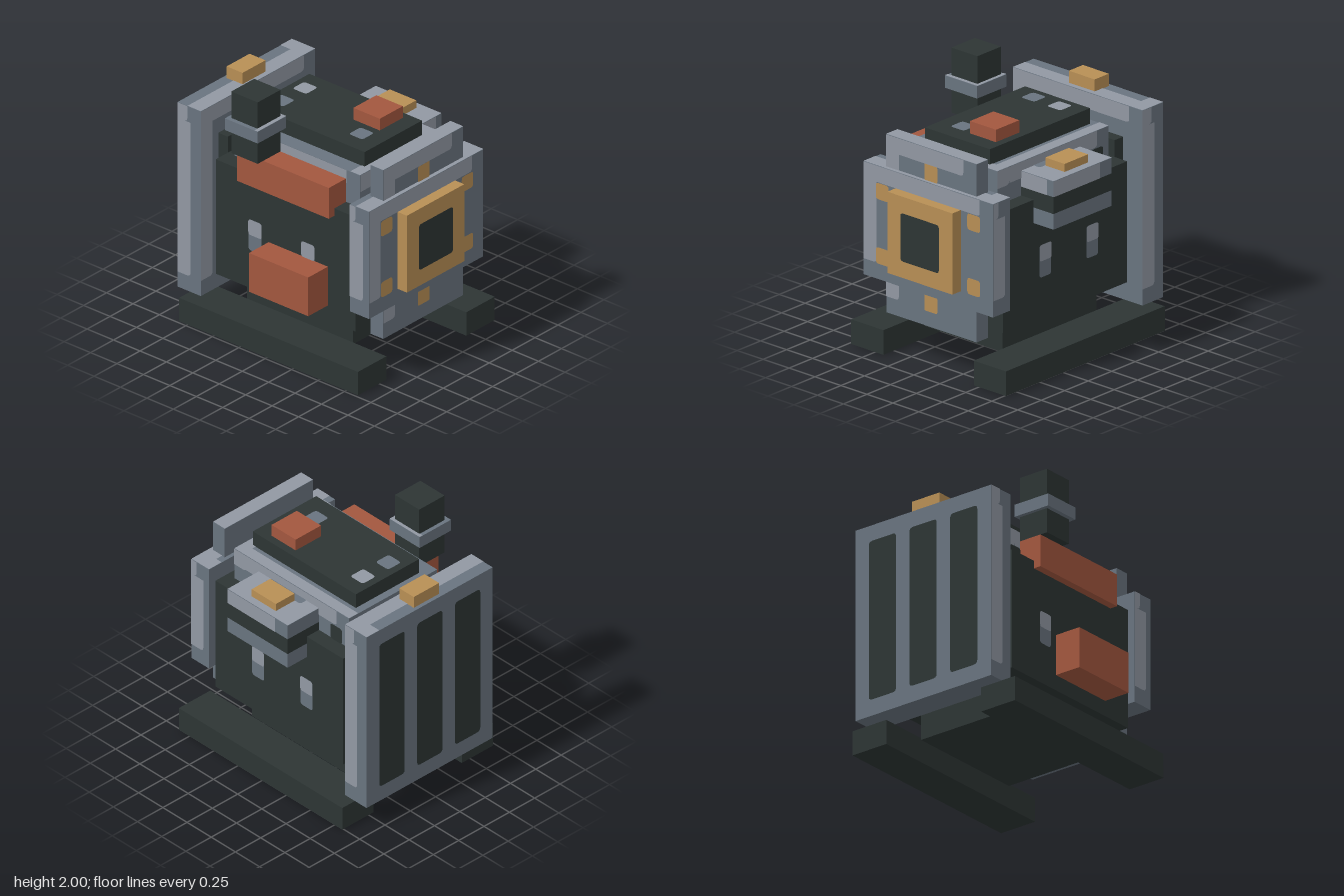
import * as THREE from 'three';

const mat = (name, color) => {
  const m = new THREE.MeshStandardMaterial({ color });
  m.name = name;
  return m;
};

export function createModel() {
  const root = new THREE.Group();
  root.name = 'generator';
  const dark = mat('dark iron', 0x2d3534);
  const steel = mat('steel', 0x69747f);
  const light = mat('light steel', 0x9298a3);
  const brass = mat('brass', 0xb88f55);
  const copper = mat('copper', 0xa3573f);

  // Box from its bounds
  function box(name, m, x0, x1, y0, y1, z0, z1) {
    const mesh = new THREE.Mesh(new THREE.BoxGeometry(x1 - x0, y1 - y0, z1 - z0), m);
    mesh.position.set((x0 + x1) / 2, (y0 + y1) / 2, (z0 + z1) / 2);
    mesh.name = name;
    root.add(mesh);
    return mesh;
  }

  // Painted polygon with rounded corners, centred on a face; side is the way it faces
  const turn = { front: [0, 0], back: [0, Math.PI], left: [0, Math.PI / 2], right: [0, -Math.PI / 2], top: [-Math.PI / 2, 0] };
  function paint(name, m, side, x, y, z, shape) {
    const mesh = new THREE.Mesh(new THREE.ShapeGeometry(shape, 3), m);
    mesh.rotation.set(turn[side][0], turn[side][1], 0);
    mesh.position.set(x, y, z);
    mesh.name = name;
    root.add(mesh);
  }
  function rounded(w, h, r = 0.025) {
    const s = new THREE.Shape(), a = w / 2, b = h / 2;
    s.moveTo(-a + r, -b);
    s.lineTo(a - r, -b);
    s.quadraticCurveTo(a, -b, a, -b + r);
    s.lineTo(a, b - r);
    s.quadraticCurveTo(a, b, a - r, b);
    s.lineTo(-a + r, b);
    s.quadraticCurveTo(-a, b, -a, b - r);
    s.lineTo(-a, -b + r);
    s.quadraticCurveTo(-a, -b, -a + r, -b);
    return s;
  }
  // Worn edge: an L along the left and upper edges of a face
  function edgeL(w, h, t = 0.125) {
    const a = w / 2, b = h / 2, r = 0.03;
    const s = new THREE.Shape();
    s.moveTo(-a, b);
    s.lineTo(-a, -b + t);
    s.lineTo(-a + t - r, -b + t);
    s.quadraticCurveTo(-a + t, -b + t, -a + t, -b + t + r);
    s.lineTo(-a + t, b - t);
    s.lineTo(a - t - r, b - t);
    s.quadraticCurveTo(a - t, b - t, a - t, b - t + r);
    s.lineTo(a - t, b);
    return s;
  }
  // Worn top: an L along the front and left edges
  function topL(w, d, t) {
    const a = w / 2, b = d / 2, u = Math.min(t, d);
    const s = new THREE.Shape();
    s.moveTo(-a, -b);
    s.lineTo(a, -b);
    s.lineTo(a, b);
    s.lineTo(a - t, b);
    if (u < d) s.lineTo(a - t, -b + u);
    s.lineTo(-a, -b + u);
    return s;
  }
  // Steel box with worn edges on its front, sides and top
  function steelBox(name, x0, x1, y0, y1, z0, z1, t = 0.125) {
    box(name, steel, x0, x1, y0, y1, z0, z1);
    const w = x1 - x0, h = y1 - y0, d = z1 - z0, e = 0.003;
    const x = (x0 + x1) / 2, y = (y0 + y1) / 2, z = (z0 + z1) / 2;
    if (Math.min(w, h) > 0.16) paint(name + 'FrontEdge', light, 'front', x, y, z1 + e, edgeL(w, h));
    if (Math.min(d, h) > 0.16) {
      paint(name + 'LeftEdge', light, 'left', x1 + e, y, z, edgeL(d, h));
      paint(name + 'RightEdge', light, 'right', x0 - e, y, z, edgeL(d, h));
    }
    paint(name + 'TopEdge', light, 'top', x, y1 + e, z, topL(w, d, t));
  }

  // Skids and base
  box('leftSkid', dark, 0.45, 0.76, 0, 0.19, -0.83, 0.86);
  box('rightSkid', dark, -0.73, -0.42, 0, 0.19, -0.83, 0.86);
  box('base', dark, -0.36, 0.39, 0.13, 0.38, -0.51, 0.49);

  // Body with a pair of gauges on each side
  box('body', dark, -0.55, 0.57, 0.38, 1.31, -0.64, 0.68);
  box('rearJoint', dark, -0.42, 0.45, 0.44, 1.44, -0.73, -0.64);
  for (const [side, x] of [['left', 0.574], ['right', -0.554]]) {
    for (const z of [0.235, -0.265]) {
      paint('gaugeLower', steel, side, x, 0.815, z, rounded(0.125, 0.25));
      paint('gaugeUpper', light, side, x + Math.sign(x) * 0.003, 0.878, z, rounded(0.125, 0.125, 0.02));
    }
  }

  // Upper housing and lid
  steelBox('housing', -0.42, 0.45, 1.31, 1.57, -0.575, 0.61, 0.09);
  paint('leftVent', dark, 'left', 0.457, 1.375, -0.45, rounded(0.12, 0.13));
  paint('rightVent', dark, 'right', -0.427, 1.375, -0.45, rounded(0.12, 0.13));
  box('lid', dark, -0.3, 0.325, 1.57, 1.69, -0.515, 0.55);
  for (const [x, z, m] of [[-0.11, -0.395, steel], [0.14, -0.395, light], [-0.11, 0.355, steel]])
    paint('lidBolt', m, 'top', x, 1.694, z, rounded(0.13, 0.13));
  box('lidButton', copper, 0.015, 0.265, 1.69, 1.785, 0.17, 0.42);

  // Front plates, bolts and hatch
  steelBox('tallFrontPlate', -0.42, 0.45, 0.32, 1.69, 0.71, 0.83);
  steelBox('wideFrontPlate', -0.61, 0.635, 0.57, 1.44, 0.68, 0.86);
  for (const y of [0.755, 1.25])
    for (const x of [-0.425, 0.455])
      paint('plateBolt', brass, 'front', x, y, 0.867, rounded(0.125, 0.125));
  for (const y of [0.5, 1.505])
    paint('plateBolt', brass, 'front', 0.015, y, 0.837, rounded(0.125, 0.125, 0.01));
  box('hatchFrame', brass, -0.3, 0.325, 0.69, 1.315, 0.86, 0.95);
  paint('hatchOpening', dark, 'front', 0.013, 1.003, 0.953, rounded(0.37, 0.37));

  // Rear radiator with three slots
  steelBox('radiator', -0.61, 0.635, 0.19, 1.69, -0.95, -0.73);
  for (const x of [-0.36, 0.013, 0.386])
    paint('radiatorSlot', dark, 'back', x, 0.94, -0.953, rounded(0.25, 1.25, 0.03));
  box('radiatorCap', brass, -0.11, 0.14, 1.69, 1.785, -0.92, -0.77);

  // Side unit on the left: two steel layers around a dark band
  box('sideUnitBottom', steel, 0.45, 0.76, 1.13, 1.25, -0.265, 0.355);
  box('sideUnitBand', dark, 0.45, 0.76, 1.25, 1.38, -0.265, 0.355);
  box('sideUnitTop', steel, 0.45, 0.76, 1.38, 1.5, -0.265, 0.355);
  paint('sideUnitEdge', light, 'left', 0.763, 1.44, 0.108, rounded(0.495, 0.12, 0.005));
  paint('sideUnitFrontEdge', light, 'front', 0.575, 1.44, 0.358, rounded(0.25, 0.12, 0.005));
  paint('sideUnitTopFace', light, 'top', 0.605, 1.503, 0.045, rounded(0.31, 0.62, 0.001));
  paint('sideUnitTopPatch', steel, 'top', 0.483, 1.506, 0.045, rounded(0.065, 0.37, 0.02));
  box('sideUnitCap', brass, 0.515, 0.7, 1.5, 1.565, -0.08, 0.17);

  // Exhaust, pipe and box on the right
  box('exhaustPipe', copper, -0.61, -0.42, 1.25, 1.5, -0.39, 0.48);
  box('chimney', dark, -0.67, -0.42, 1.5, 2, -0.39, -0.14);
  steelBox('chimneyCollar', -0.705, -0.395, 1.69, 1.785, -0.42, -0.11, 0.03);
  box('sideTank', copper, -0.765, -0.55, 0.5, 0.815, -0.14, 0.42);

  return root;
}
